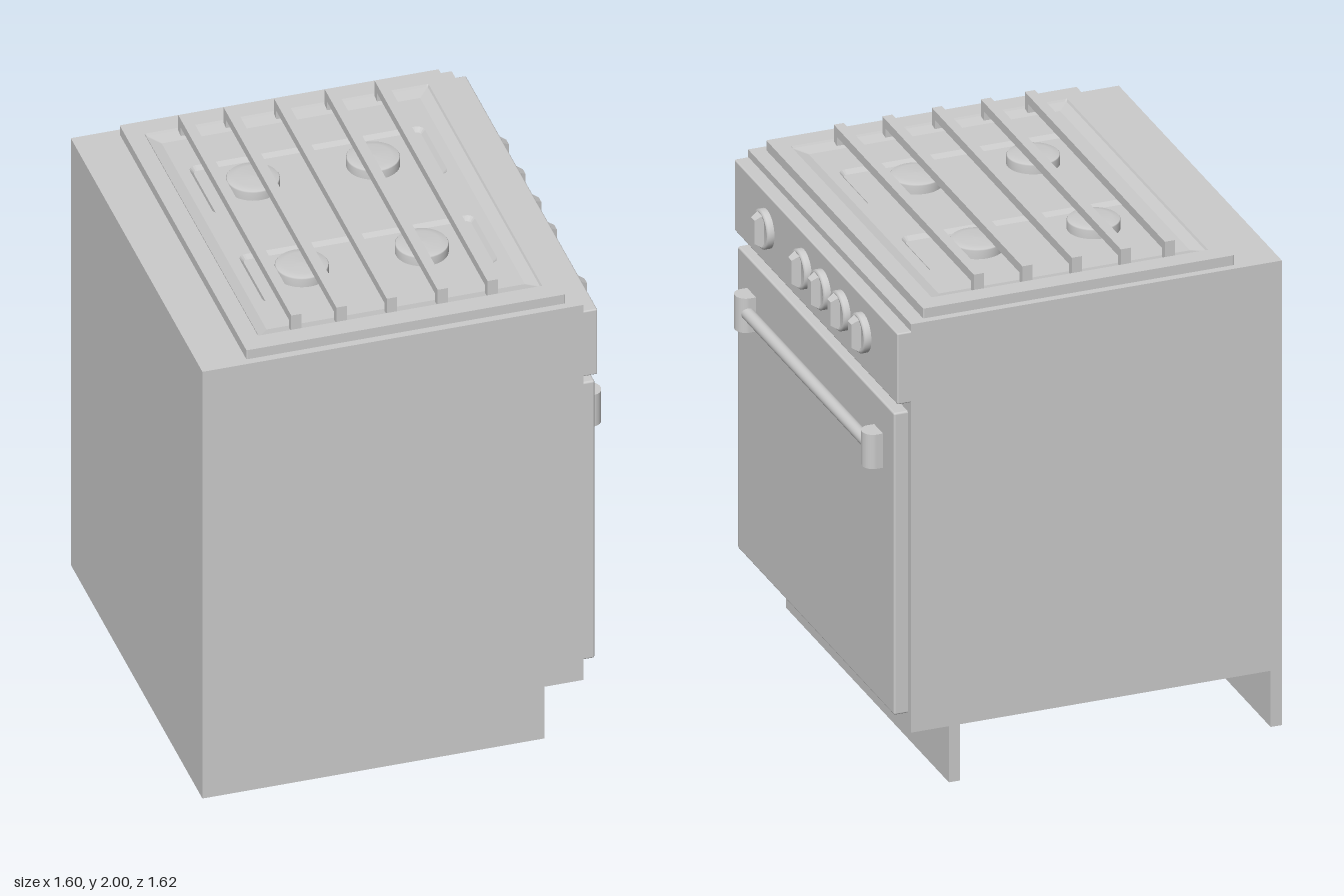
import * as THREE from 'three';
import { RoundedBoxGeometry } from 'three/addons/geometries/RoundedBoxGeometry.js';

const grey = new THREE.MeshStandardMaterial({ color: 0xcccccc });

function add(parent, name, geometry, x = 0, y = 0, z = 0) {
  const mesh = new THREE.Mesh(geometry, grey);
  mesh.name = name;
  mesh.position.set(x, y, z);
  parent.add(mesh);
  return mesh;
}

// Box given by its limits, with optional rounded edges
function box(parent, name, [x0, x1], [y0, y1], [z0, z1], r = 0) {
  const size = [x1 - x0, y1 - y0, z1 - z0];
  const geometry = r ? new RoundedBoxGeometry(...size, 3, r) : new THREE.BoxGeometry(...size);
  return add(parent, name, geometry, (x0 + x1) / 2, (y0 + y1) / 2, (z0 + z1) / 2);
}

// Points of a rounded rectangle in the x-z plane
function loop(x0, x1, z0, z1, r, y) {
  const pts = [];
  const centres = [[x1 - r, z1 - r], [x0 + r, z1 - r], [x0 + r, z0 + r], [x1 - r, z0 + r]];
  centres.forEach(([cx, cz], q) => {
    for (let i = 0; i <= 4; i++) {
      const a = (q + i / 4) * Math.PI / 2;
      pts.push(new THREE.Vector3(cx + r * Math.cos(a), y, cz + r * Math.sin(a)));
    }
  });
  return pts;
}

// Flat-faced surface through a series of matching loops
function skin(loops) {
  const pts = [];
  for (let i = 0; i + 1 < loops.length; i++) {
    const lo = loops[i], hi = loops[i + 1], n = lo.length;
    for (let j = 0; j < n; j++) {
      const k = (j + 1) % n;
      pts.push(lo[j], hi[j], lo[k], lo[k], hi[j], hi[k]);
    }
  }
  const geometry = new THREE.BufferGeometry().setFromPoints(pts);
  geometry.computeVertexNormals();
  return geometry;
}

// Horizontal sheet bounded by a loop, with optional holes
function sheet(outline, holes = []) {
  const flat = (l) => l.map((p) => new THREE.Vector2(p.x, -p.z));
  const shape = new THREE.Shape(flat(outline));
  shape.holes = holes.map((h) => new THREE.Path(flat(h)));
  return new THREE.ShapeGeometry(shape).rotateX(-Math.PI / 2);
}

function cooktop() {
  const g = new THREE.Group();
  g.name = 'cooktop';
  const floorY = 1.922, wellY = 1.906;
  const inner = loop(-0.5, 0.5, -0.645, 0.645, 0.004, floorY);
  add(g, 'cooktopRim', skin([
    loop(-0.62, 0.615, -0.78, 0.78, 0.005, 1.9),
    loop(-0.62, 0.615, -0.78, 0.78, 0.005, 1.94),
    loop(-0.55, 0.55, -0.7, 0.7, 0.005, 1.94),
    loop(-0.545, 0.545, -0.695, 0.695, 0.005, 1.932),
    inner,
  ]));

  // Two sunken wells, each with two burners
  const wells = [-0.305, 0.31].map((z) => [-0.455, 0.455, z - 0.165, z + 0.165]);
  const mouths = wells.map((w) => loop(...w, 0.03, 0));
  add(g, 'cooktopFloor', sheet(inner, mouths), 0, floorY, 0);
  wells.forEach(([x0, x1, z0, z1]) => {
    const s = 0.015;
    const bottom = loop(x0 + s, x1 - s, z0 + s, z1 - s, 0.018, wellY);
    add(g, 'wellWall', skin([loop(x0, x1, z0, z1, 0.03, floorY), bottom]));
    add(g, 'wellFloor', sheet(bottom), 0, wellY, 0);
  });
  const cap = [[0.1, 0], [0.1, 0.034], [0.097, 0.038], [0.07, 0.043], [0, 0.045]]
    .map(([r, y]) => new THREE.Vector2(r, y));
  for (const x of [-0.255, 0.21])
    for (const z of [-0.3, 0.3])
      add(g, 'burner', new THREE.LatheGeometry(cap, 40), x, wellY, z);

  // Staple-shaped grate bars
  for (const x of [-0.4, -0.225, -0.03, 0.167, 0.36]) {
    const w = [x - 0.02, x + 0.02];
    box(g, 'grateBar', w, [1.963, 2], [-0.695, 0.695]);
    for (const s of [-1, 1])
      box(g, 'grateFoot', w, [1.925, 1.97], [s * 0.68 - 0.015, s * 0.68 + 0.015]);
  }
  return g;
}

function knob(z) {
  const g = new THREE.Group();
  g.name = 'knob';
  const profile = [[0.077, 0], [0.077, 0.022], [0.072, 0.028], [0.064, 0.028], [0.056, 0.022], [0, 0.022]]
    .map(([r, y]) => new THREE.Vector2(r, y));
  const dial = new THREE.LatheGeometry(profile, 32).rotateZ(-Math.PI / 2);
  dial.computeVertexNormals();
  add(g, 'knobDial', dial);

  // Finger grip, tapering toward its tip
  const grip = new THREE.BoxGeometry(0.04, 0.144, 0.056);
  const p = grip.attributes.position;
  for (let i = 0; i < p.count; i++)
    if (p.getX(i) > 0) p.setXYZ(i, p.getX(i), p.getY(i) * 0.66, p.getZ(i) * 0.6);
  grip.computeVertexNormals();
  add(g, 'knobGrip', grip, 0.036);
  g.position.set(0.73, 1.73, z);
  return g;
}

function handle() {
  const g = new THREE.Group();
  g.name = 'doorHandle';
  // Posts with a rounded nose
  const shape = new THREE.Shape();
  shape.moveTo(0.72, -0.044);
  shape.lineTo(0.756, -0.044);
  shape.absellipse(0.756, 0, 0.04, 0.044, -Math.PI / 2, Math.PI / 2);
  shape.lineTo(0.72, 0.044);
  shape.closePath();
  const post = new THREE.ExtrudeGeometry(shape, { depth: 0.14, bevelEnabled: false, curveSegments: 16 })
    .rotateX(Math.PI / 2);
  for (const z of [-0.623, 0.638]) add(g, 'handlePost', post, 0, 1.4, z);
  const bar = new THREE.CylinderGeometry(0.025, 0.025, 1.23, 24).rotateX(Math.PI / 2);
  add(g, 'handleBar', bar, 0.759, 1.335, 0.007);
  return g;
}

export function createModel() {
  const model = new THREE.Group();
  model.name = 'stove';
  const full = [-0.81, 0.81];

  box(model, 'body', [-0.8, 0.675], [0.23, 1.9], full);

  // Plinth boards, open on one side
  box(model, 'plinthFront', [0.48, 0.525], [0, 0.23], full);
  box(model, 'plinthBack', [-0.8, -0.755], [0, 0.23], full);
  box(model, 'plinthSide', [-0.755, 0.48], [0, 0.23], [0.765, 0.81]);

  box(model, 'controlPanel', [0.66, 0.73], [1.58, 1.87], full, 0.006);
  box(model, 'ovenDoor', [0.66, 0.73], [0.295, 1.53], [-0.777, 0.777], 0.008);

  for (const z of [0.487, 0.117, -0.075, -0.27, -0.475]) model.add(knob(z));
  model.add(handle(), cooktop());
  return model;
}
